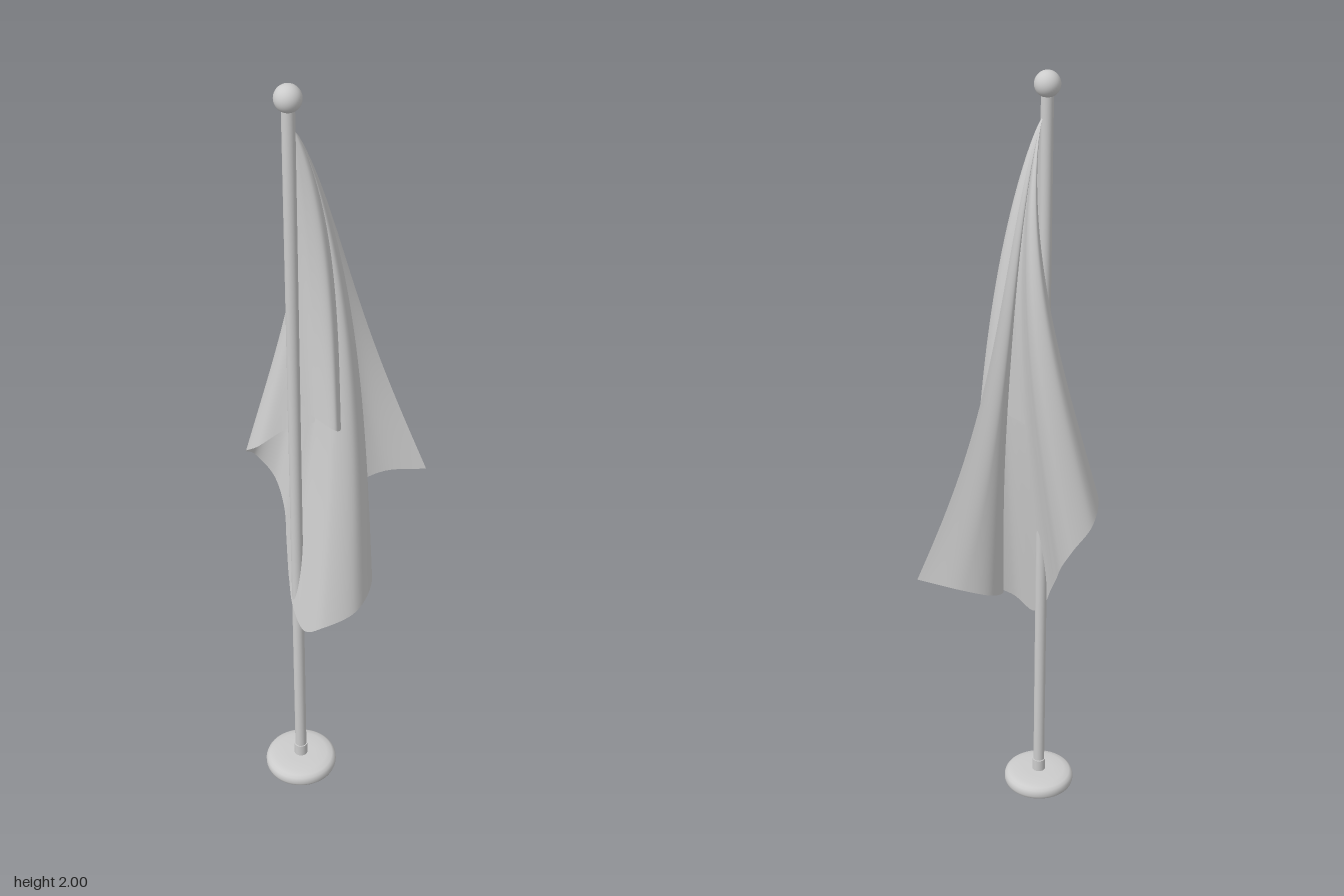
import * as THREE from 'three';

const POLE_X = -0.158, POLE_Z = 0.034;

// Hem of the cloth: x, y, z, then how far the fold above it sags to +x and bows to -z
const HEM = [
  [-0.145, 1.2, 0.04, 0, 0], [-0.14, 1.19, 0.1, 0.015, 0], [-0.112, 1.17, 0.145, 0.03, 0],
  [-0.082, 1.15, 0.115, 0.04, 0], [-0.1, 1.13, 0.045, 0.035, 0], [-0.145, 1.09, -0.02, 0.05, 0],
  [-0.195, 1.02, -0.08, 0.065, 0], [-0.195, 0.97, -0.14, 0.075, 0], [-0.15, 0.92, -0.175, 0.075, 0],
  [-0.11, 0.85, -0.15, 0.075, 0], [-0.11, 0.78, -0.105, 0.075, 0], [-0.135, 0.71, -0.055, 0.075, 0],
  [-0.163, 0.64, 0, 0.075, 0], [-0.176, 0.575, 0.04, 0.075, 0], [-0.172, 0.53, 0.085, 0.075, 0],
  [-0.145, 0.565, 0.135, 0.07, 0], [-0.07, 0.61, 0.17, 0.06, 0], [0, 0.65, 0.135, 0.055, 0],
  [0.025, 0.69, 0.07, 0.055, 0], [0.023, 0.71, 0, 0.055, 0], [0.04, 0.74, -0.06, 0.05, 0.004],
  [0.1, 0.77, -0.092, 0.035, 0.026], [0.17, 0.8, -0.07, 0.02, 0.052], [0.252, 0.825, 0.008, 0.01, 0.08],
];

export function createModel() {
  const group = new THREE.Group();
  const grey = new THREE.MeshStandardMaterial({ color: 0xcccccc });
  const cloth = new THREE.MeshStandardMaterial({ color: 0xcccccc, side: THREE.DoubleSide });

  const add = (name, geometry, y) => {
    const mesh = new THREE.Mesh(geometry, grey);
    mesh.name = name;
    mesh.position.set(POLE_X, y, POLE_Z);
    group.add(mesh);
  };

  // Round foot with softened rim
  const footProfile = [
    [0, 0], [0.088, 0], [0.093, 0.004], [0.095, 0.011], [0.095, 0.02],
    [0.092, 0.028], [0.085, 0.034], [0.07, 0.038], [0.04, 0.04], [0, 0.04],
  ].map(([r, y]) => new THREE.Vector2(r, y));
  add('base', new THREE.LatheGeometry(footProfile, 64), 0);
  add('collar', new THREE.CylinderGeometry(0.018, 0.018, 0.04, 32), 0.054);

  // Pole and ball on top
  add('pole', new THREE.CylinderGeometry(0.015, 0.015, 1.91, 32), 0.99);
  add('finial', new THREE.SphereGeometry(0.031, 32, 24), 1.969);

  // Draped cloth: folds fan out from the top of the pole to the wavy hem
  const across = 276, down = 60;
  const apex = new THREE.Vector3(-0.15, 1.9, 0.035);
  const hem = new THREE.CatmullRomCurve3(HEM.map(([x, y, z]) => new THREE.Vector3(x, y, z))).getPoints(across);
  const sag = new THREE.CatmullRomCurve3(
    HEM.map(([, , , sx, sz]) => new THREE.Vector3(sx, 0, -sz)), false, 'catmullrom',
  ).getPoints(across);
  const positions = [], indices = [];
  for (let j = 0; j <= down; j++) {
    const u = j / down;
    const spread = Math.pow(u, 0.85);
    const sagX = Math.sin(Math.PI * Math.pow(u, 0.7));
    const bowZ = Math.sin(Math.PI * Math.pow(u, 1.2));
    for (let i = 0; i <= across; i++) {
      positions.push(
        apex.x + (hem[i].x - apex.x) * spread + sag[i].x * sagX,
        apex.y + (hem[i].y - apex.y) * u,
        apex.z + (hem[i].z - apex.z) * spread + sag[i].z * bowZ,
      );
      if (j < down && i < across) {
        const a = j * (across + 1) + i, b = a + across + 1;
        if (j > 0) indices.push(a, b, a + 1);
        indices.push(b, b + 1, a + 1);
      }
    }
  }
  const flagGeometry = new THREE.BufferGeometry();
  flagGeometry.setAttribute('position', new THREE.Float32BufferAttribute(positions, 3));
  flagGeometry.setIndex(indices);
  flagGeometry.computeVertexNormals();
  const flag = new THREE.Mesh(flagGeometry, cloth);
  flag.name = 'flag';
  group.add(flag);

  return group;
}
